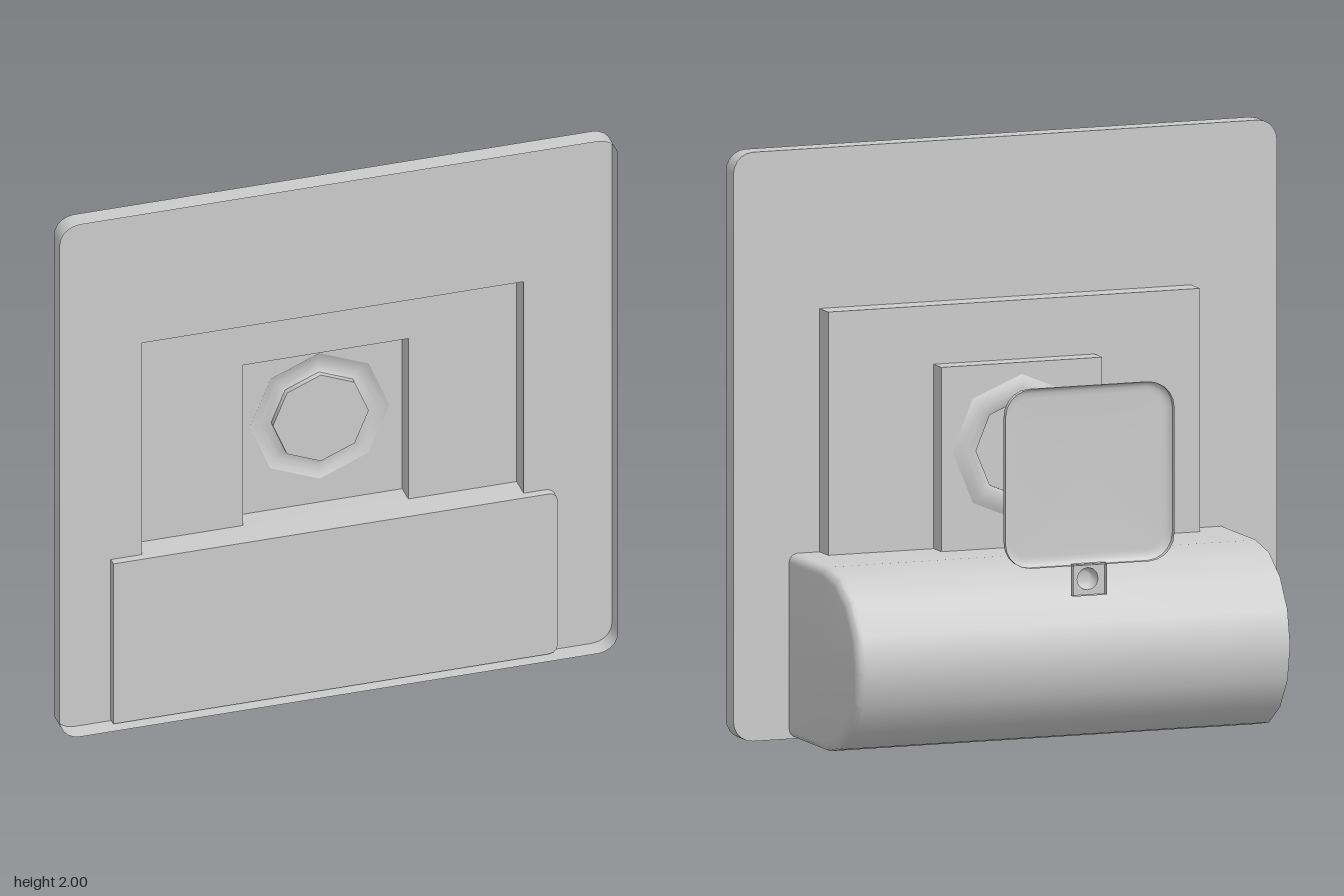
import * as THREE from 'three';
import { toCreasedNormals } from 'three/addons/utils/BufferGeometryUtils.js';

const grey = new THREE.MeshStandardMaterial({ color: 0xcccccc, side: THREE.DoubleSide });

// Rounded rectangle outline, counter-clockwise; r = 0 gives four plain corners
function outline(w, y0, y1, r = 0, steps = 5) {
  const pts = [], corners = [[w, y0, 1, -1], [w, y1, 1, 1], [-w, y1, -1, 1], [-w, y0, -1, -1]];
  corners.forEach(([x, y, sx, sy], k) => {
    if (!r) return pts.push(new THREE.Vector2(x, y));
    for (let i = 0; i <= steps; i++) {
      const a = (k - 1 + i / steps) * Math.PI / 2;
      pts.push(new THREE.Vector2(x - sx * r + r * Math.cos(a), y - sy * r + r * Math.sin(a)));
    }
  });
  return pts;
}

// Skin between closed rings of points; chosen ends are closed with a fan
function loft(rings, capStart = false, capEnd = false) {
  const n = rings[0].length, pos = rings.flat().flatMap(p => [p.x, p.y, p.z]), idx = [];
  for (let k = 0; k + 1 < rings.length; k++) {
    for (let i = 0; i < n; i++) {
      const j = (i + 1) % n, a = k * n + i, b = k * n + j, c = a + n, d = b + n;
      idx.push(a, b, d, a, d, c);
    }
  }
  const cap = (k, flip) => {
    const m = new THREE.Vector3(), c = pos.length / 3;
    rings[k].forEach(p => m.addScaledVector(p, 1 / n));
    pos.push(m.x, m.y, m.z);
    for (let i = 0; i < n; i++) {
      const a = k * n + i, b = k * n + (i + 1) % n;
      idx.push(c, flip ? b : a, flip ? a : b);
    }
  };
  if (capStart) cap(0, true);
  if (capEnd) cap(rings.length - 1, false);
  const g = new THREE.BufferGeometry();
  g.setAttribute('position', new THREE.Float32BufferAttribute(pos, 3));
  g.setIndex(idx);
  return toCreasedNormals(g, 0.6);
}

const atZ = (pts, z) => pts.map(p => new THREE.Vector3(p.x, p.y, z));

// Flat sheet with an optional hole; the shapes are symmetric in x
function sheet(pts, hole, z, facing = -1) {
  const s = new THREE.Shape(pts);
  if (hole) s.holes.push(new THREE.Path(hole));
  const g = new THREE.ShapeGeometry(s);
  if (facing < 0) g.rotateY(Math.PI);
  return g.translate(0, 0, z);
}

function circle(r, y, n) {
  return Array.from({ length: n }, (_, i) => {
    const a = i / n * Math.PI * 2;
    return new THREE.Vector2(r * Math.sin(a), y + r * Math.cos(a));
  });
}

export function createModel() {
  const model = new THREE.Group();
  const add = (name, geometry, parent = model) => {
    const mesh = new THREE.Mesh(geometry, grey);
    mesh.name = name;
    parent.add(mesh);
    return mesh;
  };
  const group = name => {
    const g = new THREE.Group();
    g.name = name;
    model.add(g);
    return g;
  };

  // Stepped back panel: each level is a sheet plus a rim, open to the front
  const panel = group('backPanel');
  const levels = [
    { name: 'plate', pts: outline(0.98, 0, 2, 0.07), z: 0.35, front: 0.42 },
    { name: 'largeStep', pts: outline(0.67, 0.12, 1.455), z: 0.27, front: 0.35 },
    { name: 'smallStep', pts: outline(0.29, 0.38, 1.255), z: 0.2, front: 0.27 },
  ];
  levels.forEach((l, i) => {
    const hole = i < 2 ? levels[i + 1].pts : circle(0.245, 0.965, 8);
    add(l.name + 'Face', sheet(l.pts, hole, l.z), panel);
    add(l.name + 'Rim', loft([atZ(l.pts, l.z), atZ(l.pts, l.front)]), panel);
  });

  // Eight-sided raised ring with a sunken centre
  const ringProfile = [[0, -0.215], [0.168, -0.215], [0.168, -0.193], [0.18, -0.187],
    [0.205, -0.186], [0.228, -0.19], [0.25, -0.2]].map(p => new THREE.Vector2(...p)).reverse();
  const ring = new THREE.LatheGeometry(ringProfile, 8).rotateX(-Math.PI / 2);
  add('octagonRing', toCreasedNormals(ring, 0.9).translate(0, 0.965, 0), panel);

  // Half-round body along x, with a softened left end
  const cy = 0.3165, r = 0.3125, frontZ = 0.38;
  const profile = [[cy - r, frontZ], [cy + r, frontZ]];
  for (let i = 0; i <= 8; i++) {
    const a = i / 8 * Math.PI;
    profile.push([cy + r * Math.cos(a), 0.04 - r * Math.sin(a)]);
  }
  profile.reverse();
  const section = (x, inset) => profile.map(([y, z]) => new THREE.Vector3(
    x, cy + (y - cy) * (1 - inset / r), frontZ + (z - frontZ) * (1 - inset / 0.65)));
  const sections = [section(-0.78, 0)];
  for (let i = 0; i <= 3; i++) {
    const a = i / 3 * Math.PI / 2;
    sections.push(section(0.75 + 0.03 * Math.sin(a), 0.03 * (1 - Math.cos(a))));
  }
  // The section order runs clockwise seen from +x, so reverse each ring
  const ccw = sections.map(s => {
    const area = s.reduce((t, p, i) => {
      const q = s[(i + 1) % s.length];
      return t + p.y * q.z - q.y * p.z;
    }, 0);
    return area > 0 ? s : s.slice().reverse();
  });
  add('halfRoundBody', loft(ccw, true, true));

  // Floating rounded tray behind the panel, open to the back
  const tray = group('rearTray');
  const trayRings = [[0, -0.42], [0, -0.4], [0.006, -0.392], [0.018, -0.386], [0.035, -0.385]]
    .map(([d, z]) => atZ(outline(0.304 - d, 0.66 + d, 1.268 - d, 0.09 - d), z));
  add('trayShell', loft(trayRings, false, true), tray);

  // Small tab below the tray with a hollow stud
  const tabOutline = outline(0.06, 0.556, 0.664);
  add('tabRim', loft([atZ(tabOutline, -0.42), atZ(tabOutline, -0.397)]), tray);
  add('tabFace', sheet(tabOutline, circle(0.038, 0.61, 12), -0.397, 1), tray);
  const studProfile = [[0.038, 0], [0.037, 0.016], [0.03, 0.03], [0.02, 0.036], [0, 0.036]]
    .map(p => new THREE.Vector2(...p));
  const stud = new THREE.LatheGeometry(studProfile, 12).rotateX(Math.PI / 2);
  add('stud', stud.translate(0, 0.61, -0.397), tray);

  return model;
}
